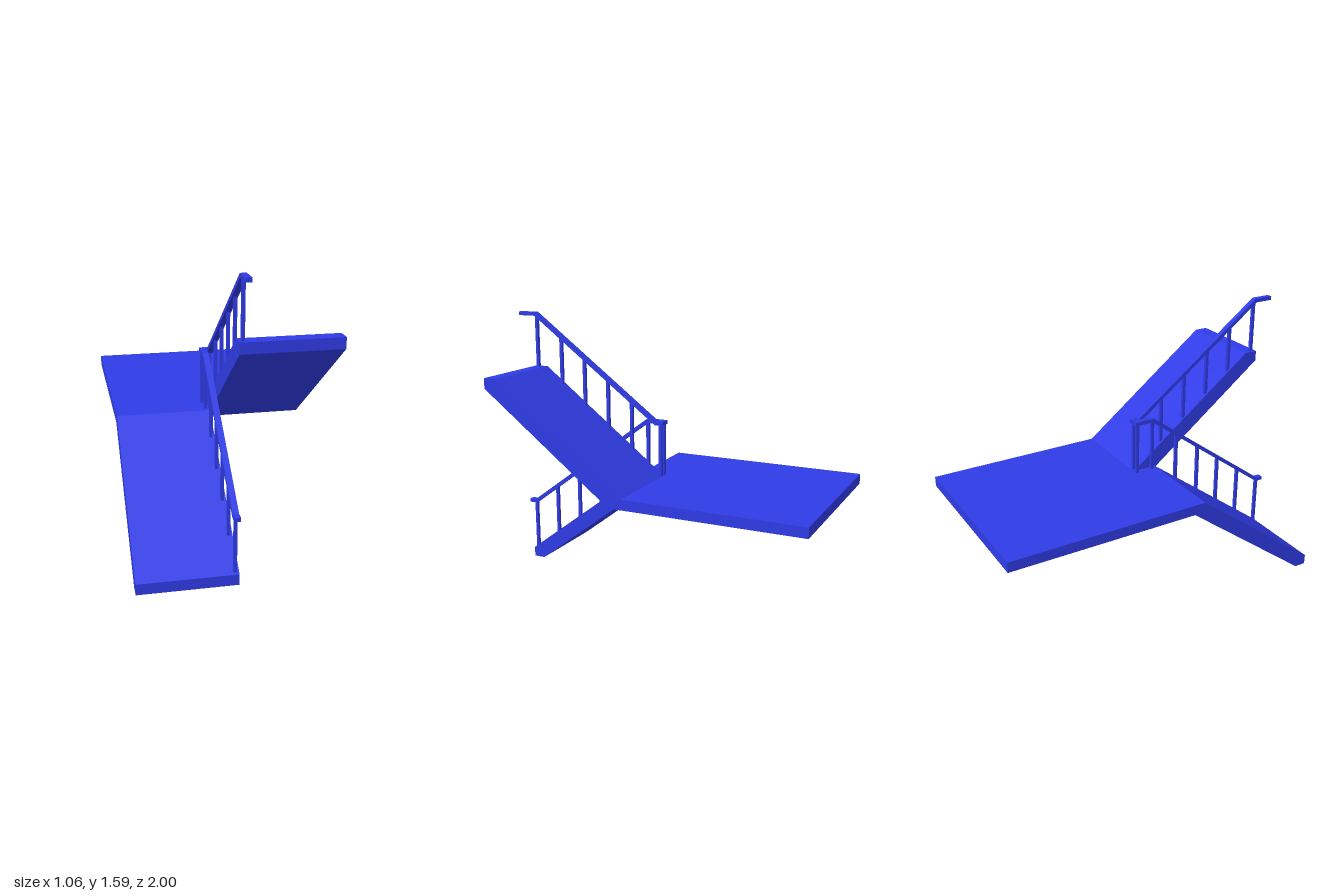
import * as THREE from 'three';

const material = new THREE.MeshStandardMaterial({ color: 0x2f3be6 });

// Extrude a side profile of [z, y] points between two x positions
function slab(name, points, x0, x1) {
  const shape = new THREE.Shape(points.map(([z, y]) => new THREE.Vector2(z, y)));
  const geometry = new THREE.ExtrudeGeometry(shape, { depth: x1 - x0, bevelEnabled: false });
  geometry.rotateY(-Math.PI / 2).translate(x1, 0, 0);
  const mesh = new THREE.Mesh(geometry, material);
  mesh.name = name;
  return mesh;
}

// Height of a polyline of [z, y] points at z (z descending)
function heightAt(line, z) {
  for (let i = 0; i < line.length - 1; i++) {
    const [za, ya] = line[i], [zb, yb] = line[i + 1];
    if (z <= za && z >= zb) return ya + ((za - z) / (za - zb)) * (yb - ya);
  }
  return line[line.length - 1][1];
}

// Handrail with square posts standing on the walking surface
function railing(name, side, top, bottom, floor, postZs) {
  const group = new THREE.Group();
  group.name = name;
  const [x0, x1] = side > 0 ? [0.002, 0.035] : [-0.035, -0.002];
  group.add(slab('handrail', [...top, ...[...bottom].reverse()], x0, x1));
  for (const z of postZs) {
    const y0 = heightAt(floor, z) - 0.008;
    const y1 = heightAt(bottom, z) + 0.006;
    const post = new THREE.Mesh(new THREE.BoxGeometry(0.018, y1 - y0, 0.018), material);
    post.position.set(side * 0.021, (y0 + y1) / 2, z);
    post.name = 'post';
    group.add(post);
  }
  return group;
}

export function createModel() {
  const model = new THREE.Group();
  model.name = 'staircase';
  const W = 0.53;

  // Landing
  model.add(slab('landing', [[-1, 0.6], [0.045, 0.6], [0.045, 0.66], [-1, 0.66]], -W, W));

  // Sloped flights on either side of the centre line
  model.add(slab('lowerFlight',
    [[0.98, 0], [0.98, 0.06], [0.19, 0.66], [0.045, 0.66], [0.045, 0.6], [0.125, 0.6], [0.91, 0]], -W, 0));
  model.add(slab('upperFlight',
    [[0.045, 0.6], [0.125, 0.6], [0.91, 1.2], [0.91, 1.26], [0.832, 1.26], [0.045, 0.66]], 0, W));

  // Railings beside the centre line
  model.add(railing('lowerRailing', -1,
    [[1, 0.389], [0.96, 0.389], [0.158, 0.989], [0.035, 0.989]],
    [[1, 0.367], [0.953, 0.367], [0.151, 0.967], [0.035, 0.967]],
    [[0.98, 0.06], [0.19, 0.66], [0, 0.66]],
    [0.962, 0.8, 0.638, 0.484, 0.325, 0.155, 0.053]));
  model.add(railing('upperRailing', 1,
    [[1, 1.588], [0.885, 1.588], [0.078, 0.989], [0.035, 0.989]],
    [[1, 1.566], [0.892, 1.566], [0.085, 0.967], [0.035, 0.967]],
    [[0.91, 1.26], [0.832, 1.26], [0.045, 0.66]],
    [0.882, 0.714, 0.556, 0.398, 0.241, 0.053]));

  return model;
}
